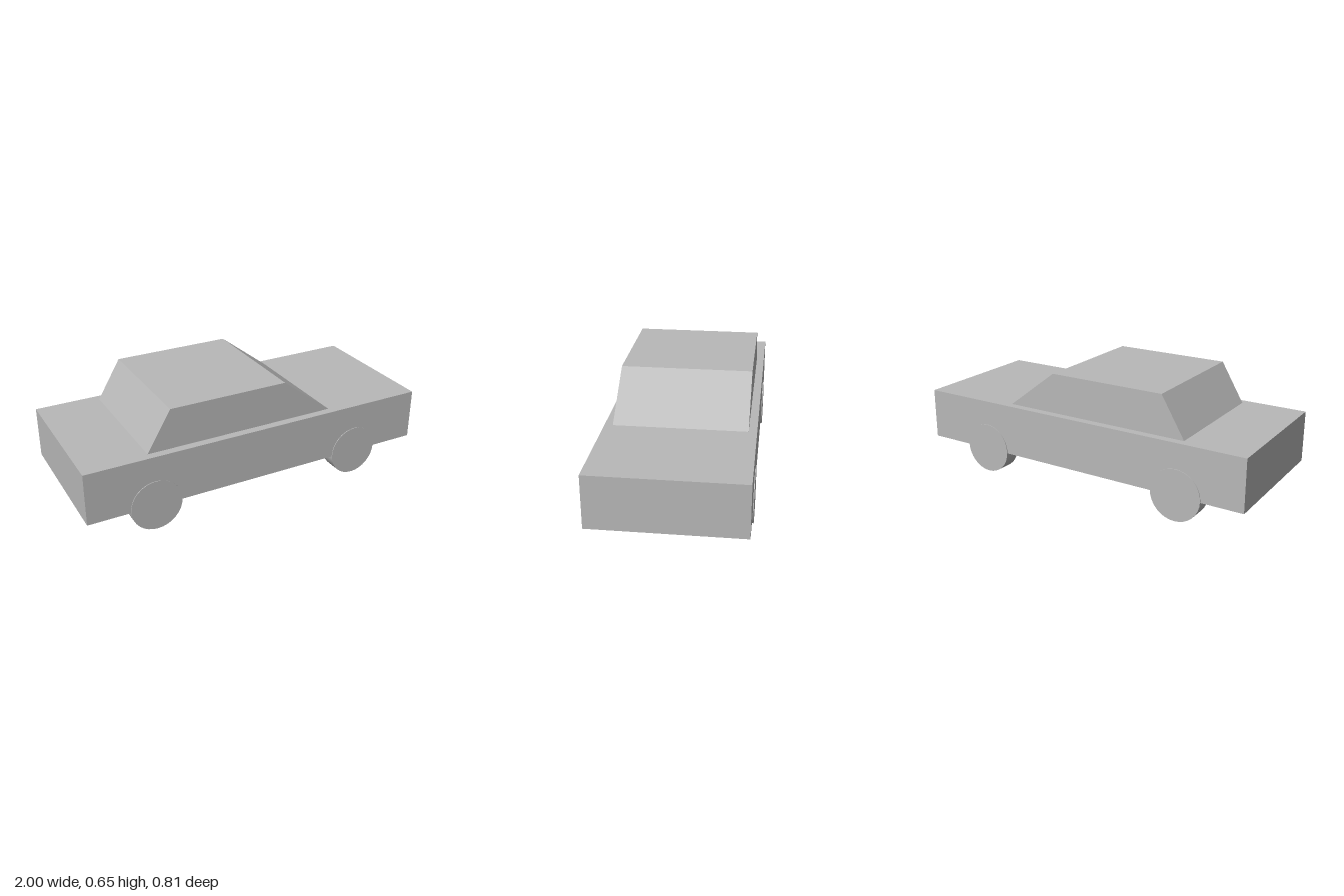
import * as THREE from 'three';

export function createModel() {
  const car = new THREE.Group();
  car.name = 'car';
  const grey = new THREE.MeshStandardMaterial({ color: 0xb8b8b8 });
  grey.name = 'grey';

  const add = (name, geometry, x, y, z) => {
    const mesh = new THREE.Mesh(geometry, grey);
    mesh.name = name;
    mesh.position.set(x, y, z);
    car.add(mesh);
    return mesh;
  };

  // Lower body slab, nose towards +x
  const bottom = 0.136, deck = 0.424;
  add('body', new THREE.BoxGeometry(2, deck - bottom, 0.8), 0, (bottom + deck) / 2, 0);

  // Cabin: side profile extruded across the car
  const profile = new THREE.Shape([
    new THREE.Vector2(-0.645, deck),
    new THREE.Vector2(0.442, deck),
    new THREE.Vector2(0.152, 0.646),
    new THREE.Vector2(-0.513, 0.646),
  ]);
  const cabinWidth = 0.712;
  add('cabin', new THREE.ExtrudeGeometry(profile, { depth: cabinWidth, bevelEnabled: false }),
    0, 0, -cabinWidth / 2);

  // Four wheels, standing just proud of the body sides
  const radius = 0.1425, inner = 0.308, outer = 0.404;
  const wheel = new THREE.CylinderGeometry(radius, radius, outer - inner, 32);
  wheel.rotateX(Math.PI / 2);
  for (const [end, x] of [['rear', -0.625], ['front', 0.598]]) {
    for (const [side, s] of [['Near', 1], ['Far', -1]]) {
      add(`${end}${side}Wheel`, wheel, x, radius, s * (inner + outer) / 2);
    }
  }
  return car;
}
